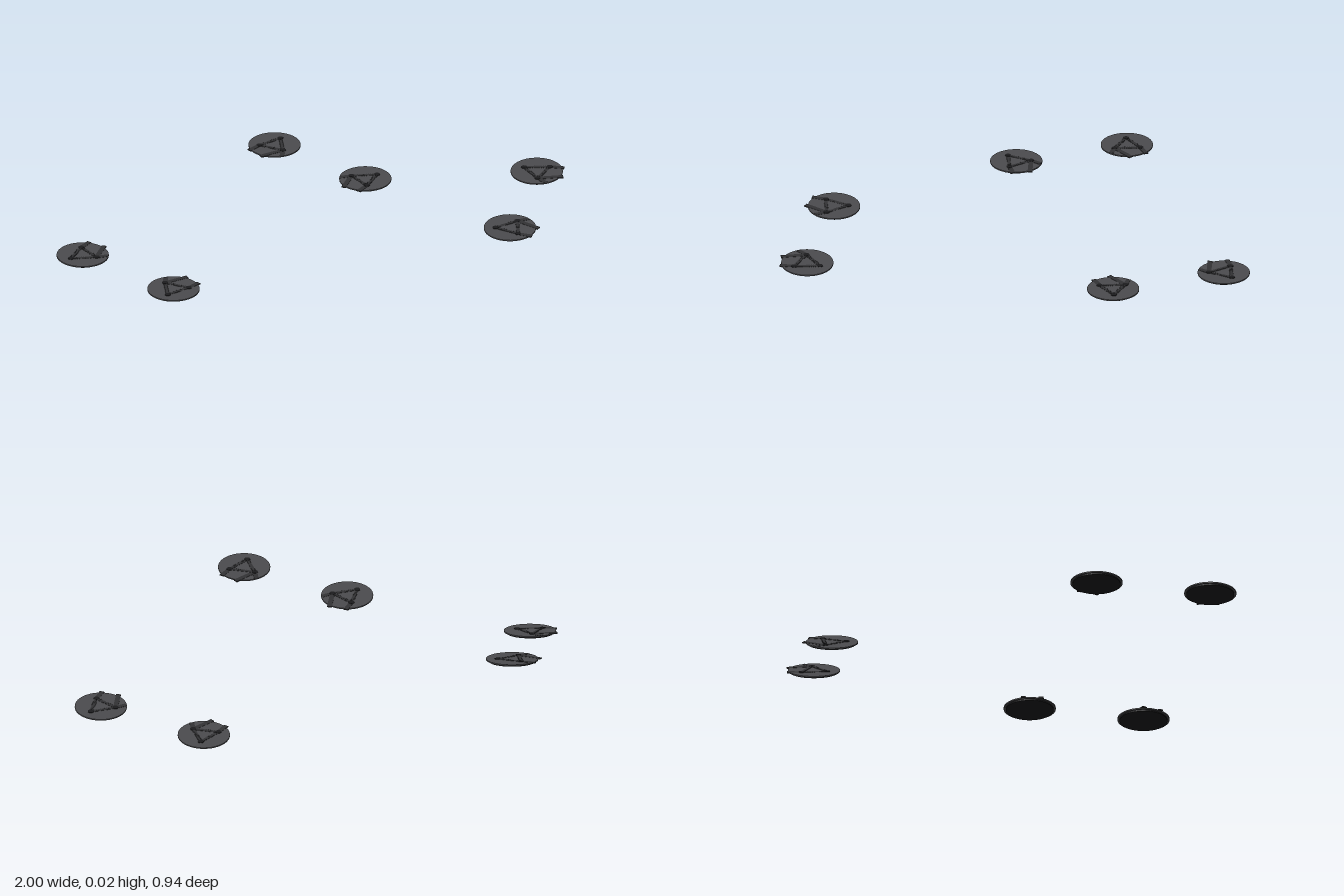
import * as THREE from 'three';

const mat = (color) => new THREE.MeshStandardMaterial({ color });

export function createModel() {
  const plateMat = mat(0x4c4c4f), barMat = mat(0x333335), darkMat = mat(0x1c1c1e);
  const model = new THREE.Group();
  model.name = 'discs';

  // Joint positions and strap ends relative to a disc centre (x, z)
  const joints = [[-0.024, -0.08], [0.078, 0.022], [-0.061, 0.06]];
  const straps = [
    [joints[0], [-0.158, -0.028]],
    [joints[0], [-0.079, -0.118]],
    [joints[2], [-0.142, 0.067]],
  ];

  function add(parent, name, geometry, material, x, y, z, angle = 0) {
    const mesh = new THREE.Mesh(geometry, material);
    mesh.name = name;
    mesh.position.set(x, y, z);
    mesh.rotation.y = angle;
    parent.add(mesh);
    return mesh;
  }

  // Flat box laid between two points in the disc plane
  function bar(parent, name, a, b, width, bottom, top, material) {
    const dx = b[0] - a[0], dz = b[1] - a[1];
    add(parent, name, new THREE.BoxGeometry(Math.hypot(dx, dz), top - bottom, width), material,
      (a[0] + b[0]) / 2, (bottom + top) / 2, (a[1] + b[1]) / 2, Math.atan2(-dz, dx));
  }

  function createDisc(name, sx, sz) {
    const disc = new THREE.Group();
    disc.name = name;
    disc.position.set(sx * 0.854, 0, sz * 0.326);
    const flip = ([x, z]) => [x * sx, z * sz];

    // Recessed foot and wider top plate
    add(disc, 'foot', new THREE.CylinderGeometry(0.134, 0.134, 0.007, 48), darkMat, 0, 0.0035, 0);
    add(disc, 'plate', new THREE.CylinderGeometry(0.146, 0.146, 0.007, 48), plateMat, 0, 0.0105, 0);

    // Wide straps reaching past the rim
    for (const [a, b] of straps) bar(disc, 'strap', flip(a), flip(b), 0.027, 0.009, 0.0152, barMat);

    // Ribbed links joining the three pins
    joints.forEach((p, i) => {
      const a = flip(p), b = flip(joints[(i + 1) % 3]);
      bar(disc, 'link', a, b, 0.016, 0.012, 0.0156, barMat);
      const angle = Math.atan2(a[1] - b[1], b[0] - a[0]);
      for (let k = 1; k < 12; k++) {
        const t = k / 12;
        add(disc, 'linkRib', new THREE.BoxGeometry(0.006, 0.0036, 0.021), barMat,
          a[0] + (b[0] - a[0]) * t, 0.0142, a[1] + (b[1] - a[1]) * t, angle);
      }
    });

    // Pins at the corners of the triangle
    for (const p of joints) {
      const [x, z] = flip(p);
      add(disc, 'pin', new THREE.CylinderGeometry(0.017, 0.017, 0.005, 16), darkMat, x, 0.0142, z);
    }
    model.add(disc);
  }

  createDisc('frontLeftDisc', 1, 1);
  createDisc('frontRightDisc', -1, 1);
  createDisc('backLeftDisc', 1, -1);
  createDisc('backRightDisc', -1, -1);
  return model;
}
